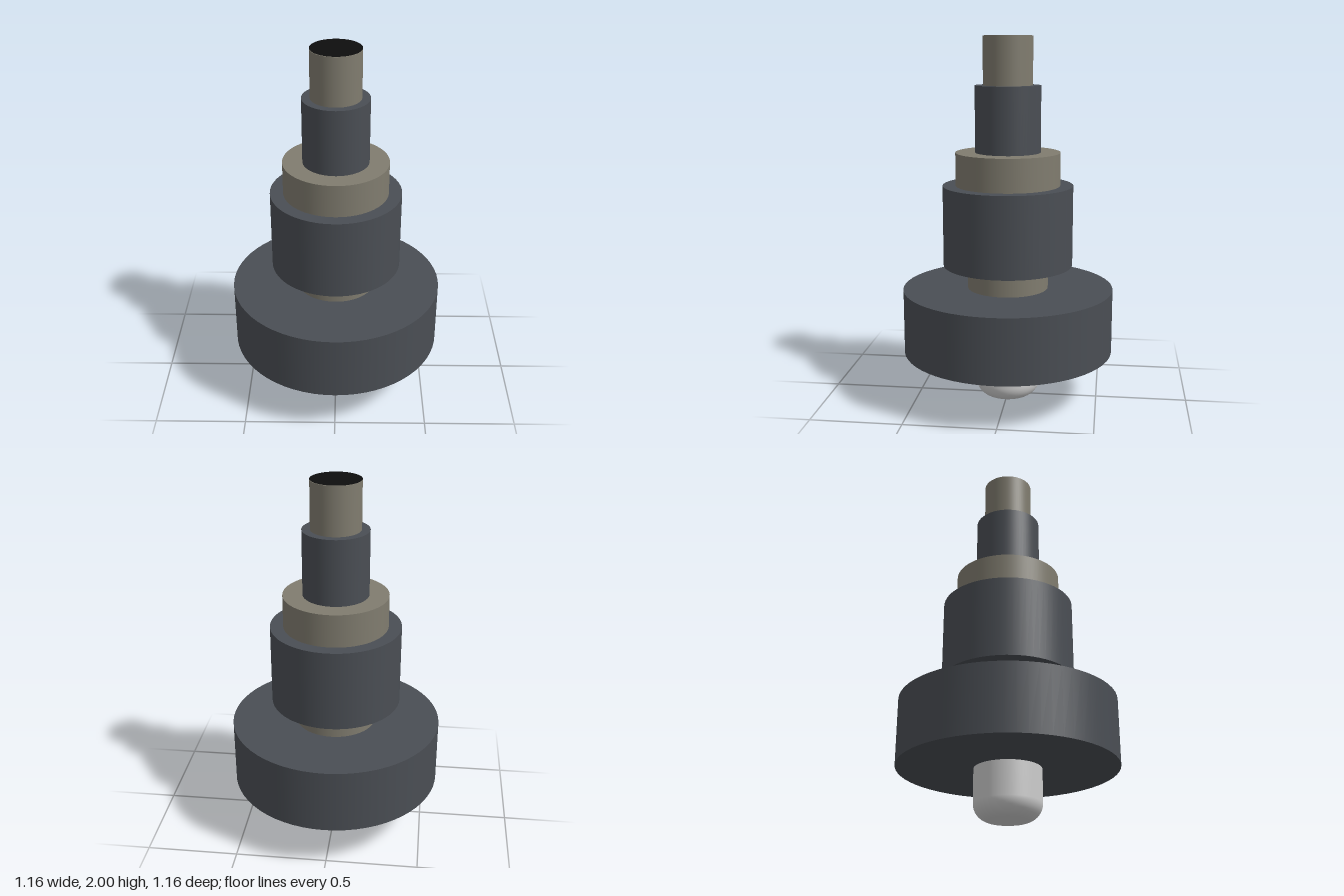
import * as THREE from 'three';

const SEGMENTS = 64;

export function createModel() {
  const group = new THREE.Group();
  const pale = new THREE.MeshStandardMaterial({ color: 0xcccccc });
  const dark = new THREE.MeshStandardMaterial({ color: 0x4a4e54 });
  const tan = new THREE.MeshStandardMaterial({ color: 0x807c6f });
  const black = new THREE.MeshStandardMaterial({ color: 0x0e0e0e });

  function add(name, geometry, material) {
    const mesh = new THREE.Mesh(geometry, material);
    mesh.name = name;
    group.add(mesh);
    return mesh;
  }

  // Stacked coaxial steps: name, radius, bottom, top, material
  const steps = [
    ['flange', 0.58, 0.27, 0.627, dark],
    ['neck', 0.222, 0.627, 0.757, tan],
    ['body', 0.356, 0.757, 1.2, dark],
    ['collar', 0.285, 1.2, 1.38, tan],
    ['shaft', 0.178, 1.38, 1.738, dark],
    ['tip', 0.134, 1.738, 1.998, tan],
  ];
  for (const [name, radius, bottom, top, material] of steps) {
    const geometry = new THREE.CylinderGeometry(radius, radius, top - bottom, SEGMENTS);
    add(name, geometry, material).position.y = (bottom + top) / 2;
  }

  // Black end face on the tip
  const face = add('tipFace', new THREE.CircleGeometry(0.134, SEGMENTS), black);
  face.rotation.x = -Math.PI / 2;
  face.position.y = 2;

  // Bottom pin with a rounded lower edge
  const radius = 0.178, fillet = 0.09;
  const profile = [new THREE.Vector2(0, 0)];
  for (let i = 0; i <= 10; i++) {
    const a = (i / 10) * Math.PI / 2;
    profile.push(new THREE.Vector2(radius - fillet + fillet * Math.sin(a), fillet - fillet * Math.cos(a)));
  }
  profile.push(new THREE.Vector2(radius, 0.27));
  add('pin', new THREE.LatheGeometry(profile, SEGMENTS), pale);

  return group;
}
